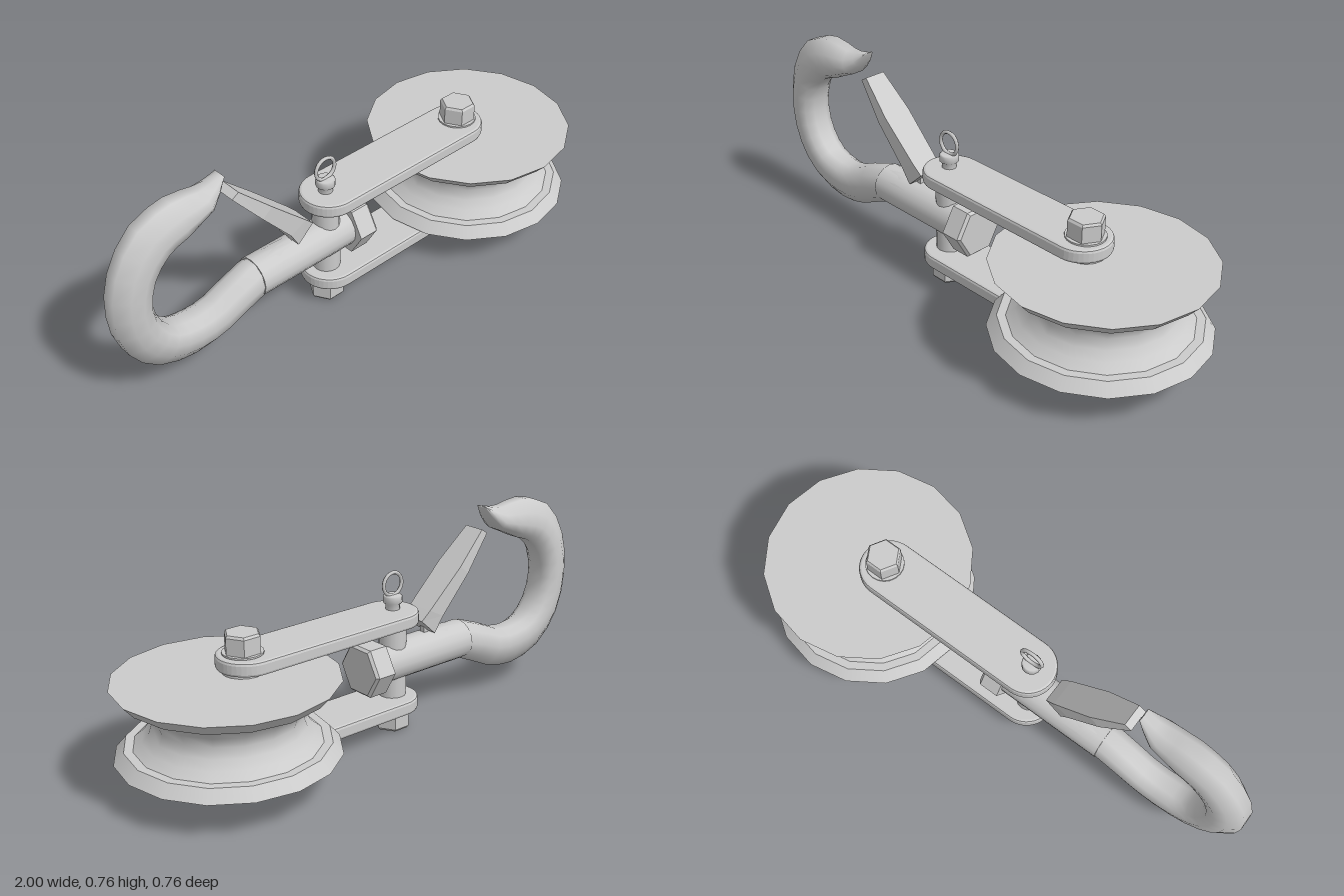
import * as THREE from 'three';

const Z = 0.01; // centre plane of hook, plates and bolts
const mat = new THREE.MeshStandardMaterial({ color: 0xcccccc });
const flatMat = new THREE.MeshStandardMaterial({ color: 0xcccccc, flatShading: true });

function add(group, name, geo, x = 0, y = 0, z = 0, material = mat) {
  const mesh = new THREE.Mesh(geo, material);
  mesh.name = name;
  mesh.position.set(x, y, z);
  group.add(mesh);
  return mesh;
}

// Skin closed rings of Vector3 and cap both ends
function loft(rings) {
  const n = rings[0].length, last = (rings.length - 1) * n;
  const pts = rings.flat(), idx = [];
  for (let i = 0; i < rings.length - 1; i++) {
    for (let j = 0; j < n; j++) {
      const k = (j + 1) % n, a = i * n + j, b = i * n + k;
      idx.push(a, b, b + n, a, b + n, a + n);
    }
  }
  for (let j = 1; j < n - 1; j++) {
    idx.push(0, j + 1, j, last, last + j, last + j + 1);
  }
  const geo = new THREE.BufferGeometry().setFromPoints(pts);
  geo.setIndex(idx);
  geo.computeVertexNormals();
  return geo;
}

// Hexagonal head with a slightly chamfered end, along +y
function hexHead(r, h) {
  const c = h * 0.12;
  const pts = [[0, 0], [r, 0], [r, h - c], [r * 0.9, h], [0, h]];
  return new THREE.LatheGeometry(pts.map(p => new THREE.Vector2(...p)), 6).rotateY(Math.PI / 6);
}

function hookGeometry() {
  // centre x, centre y, in-plane half width, half depth, blend from round to hook section
  const stations = [
    [-0.03, 0.26, 0.073, 0.07, 0], [-0.25, 0.26, 0.073, 0.07, 0], [-0.447, 0.257, 0.074, 0.07, 0],
    [-0.60, 0.19, 0.075, 0.068, 0.5], [-0.706, 0.174, 0.078, 0.068, 0.8], [-0.82, 0.203, 0.076, 0.068, 1],
    [-0.90, 0.289, 0.074, 0.068, 1], [-0.932, 0.412, 0.07, 0.068, 1], [-0.909, 0.545, 0.074, 0.068, 1],
    [-0.832, 0.644, 0.081, 0.068, 1], [-0.733, 0.679, 0.074, 0.068, 1], [-0.626, 0.698, 0.044, 0.058, 1],
    [-0.548, 0.752, 0.004, 0.025, 1],
  ];
  // outer edge first, running round through +z
  const half = [[1, 0.35], [0.35, 0.85], [-0.25, 1], [-0.75, 0.85], [-1, 0.4]];
  const section = [...half, ...half.slice().reverse().map(([u, v]) => [u, -v])];
  const path = new THREE.CatmullRomCurve3(stations.map(s => new THREE.Vector3(s[0], s[1], 0)));
  const rings = [], steps = (stations.length - 1) * 2;
  for (let i = 0; i <= steps; i++) {
    const f = i / 2, lo = Math.floor(f), hi = Math.ceil(f);
    const [w, d, k] = [2, 3, 4].map(c => THREE.MathUtils.lerp(stations[lo][c], stations[hi][c], f - lo));
    const p = path.getPoint(i / steps), t = path.getTangent(i / steps);
    rings.push(section.map(([u, v], j) => {
      const a = (j + 0.5) / section.length * Math.PI * 2;
      const su = THREE.MathUtils.lerp(Math.cos(a), u, k) * w;
      const sv = THREE.MathUtils.lerp(Math.sin(a), v, k) * d;
      return new THREE.Vector3(p.x - t.y * su, p.y + t.x * su, Z + sv);
    }));
  }
  return loft(rings);
}

function latchGeometry() {
  // lower edge x, y, upper edge x, y, half depth
  const stations = [
    [-0.537, 0.663, -0.51, 0.68, 0.041],
    [-0.43, 0.535, -0.39, 0.567, 0.056],
    [-0.31, 0.395, -0.245, 0.43, 0.052],
    [-0.275, 0.335, -0.21, 0.395, 0.047],
  ];
  return loft(stations.map(([ax, ay, bx, by, d]) => [
    new THREE.Vector3(bx, by, Z - d), new THREE.Vector3(bx, by, Z + d),
    new THREE.Vector3(ax, ay, Z + d), new THREE.Vector3(ax, ay, Z - d),
  ]));
}

// Stadium-shaped side plate with softened edges
function plateGeometry() {
  const r = 0.095, bevel = 0.01, x0 = -0.095, x1 = 0.525;
  const s = new THREE.Shape();
  s.absarc(x1, 0, r, -Math.PI / 2, Math.PI / 2);
  s.absarc(x0, 0, r, Math.PI / 2, Math.PI * 1.5);
  return new THREE.ExtrudeGeometry(s, {
    depth: 0.03, bevelThickness: bevel, bevelSize: bevel, bevelSegments: 2, curveSegments: 10,
  }).translate(0, 0, -0.015).rotateX(-Math.PI / 2);
}

// Grooved wheel; repeated points keep the rim edges crisp
function wheelGeometry() {
  const lower = [
    [0, 0.135], [0.38, 0.135], [0.38, 0.135], [0.345, 0.175], [0.345, 0.175],
    [0.315, 0.175], [0.315, 0.175], [0.285, 0.2], [0.262, 0.23],
  ];
  const upper = lower.slice().reverse().map(([r, y]) => [r, 0.53 - y]);
  const pts = [...lower, [0.25, 0.265], ...upper];
  return new THREE.LatheGeometry(pts.map(p => new THREE.Vector2(...p)), 16);
}

export function createModel() {
  const model = new THREE.Group();
  model.name = 'hookPulley';
  const boltX = 0.54, pinX = -0.11;

  // Wheel and axle
  add(model, 'pulleyWheel', wheelGeometry(), 0.615, 0, 0);
  add(model, 'axleCollar', new THREE.CylinderGeometry(0.073, 0.073, 0.29, 16), boltX, 0.265, Z);
  add(model, 'axleBolt', new THREE.CylinderGeometry(0.045, 0.045, 0.42, 16), boltX, 0.265, Z);

  // Side plates
  for (const [name, y] of [['lowerPlate', 0.104], ['upperPlate', 0.432]]) {
    add(model, name, plateGeometry(), 0, y, Z);
  }

  // Bolt heads and washers
  const washer = () => new THREE.CylinderGeometry(0.07, 0.07, 0.006, 20);
  for (const [x, name] of [[boltX, 'axle'], [pinX, 'pin']]) {
    add(model, name + 'LowerNut', hexHead(0.065, 0.068), x, 0.068, Z, flatMat).rotation.x = Math.PI;
    add(model, name + 'LowerWasher', washer(), x, 0.071, Z);
  }
  add(model, 'axleUpperNut', hexHead(0.065, 0.068), boltX, 0.464, Z, flatMat);
  add(model, 'axleUpperWasher', washer(), boltX, 0.462, Z);

  // Cross pin with pull ring
  add(model, 'crossPin', new THREE.CylinderGeometry(0.05, 0.05, 0.39, 16), pinX, 0.262, Z);
  const stub = [[0.026, 0.45], [0.026, 0.475], [0.035, 0.483], [0.035, 0.505], [0.03, 0.51], [0, 0.51]];
  add(model, 'pinStub', new THREE.LatheGeometry(stub.map(p => new THREE.Vector2(...p)), 14), pinX, 0, Z);
  add(model, 'pullRing', new THREE.TorusGeometry(0.042, 0.007, 6, 24), pinX, 0.549, Z);

  // Hook, swivel nut and latch
  add(model, 'hook', hookGeometry());
  add(model, 'hookNeck', new THREE.CylinderGeometry(0.073, 0.073, 0.42, 16).rotateZ(Math.PI / 2), -0.235, 0.26, Z);
  add(model, 'swivelNut', hexHead(0.103, 0.083).rotateY(Math.PI / 6).rotateZ(-Math.PI / 2), -0.035, 0.258, Z, flatMat);
  add(model, 'latch', latchGeometry(), 0, 0, 0, flatMat);
  add(model, 'latchHinge', new THREE.BoxGeometry(0.02, 0.06, 0.02), -0.265, 0.34, Z);
  return model;
}
